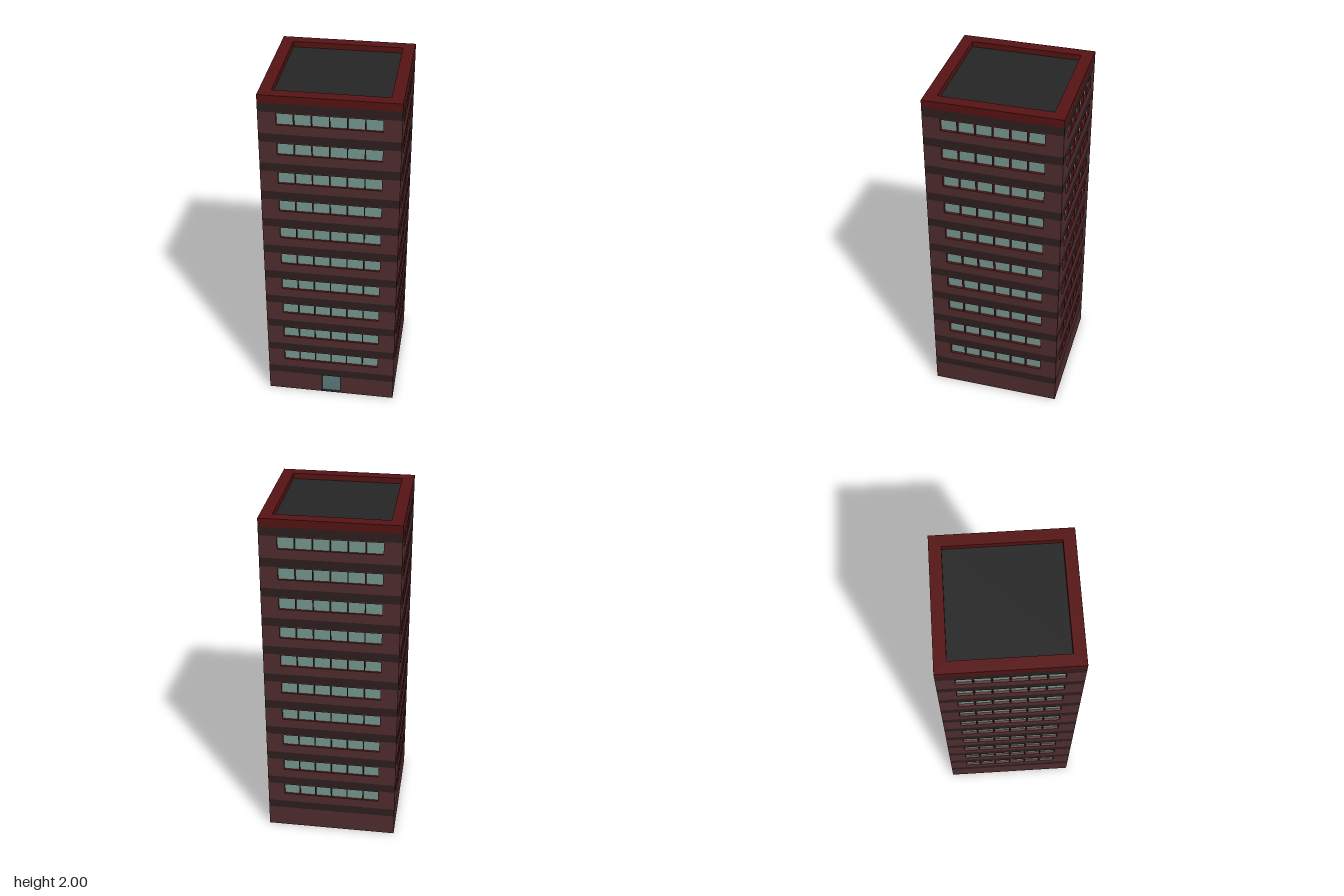
import * as THREE from 'three';
import { mergeGeometries } from 'three/addons/utils/BufferGeometryUtils.js';

const HALF = 0.38, STEP = 0.1777, FLOORS = 10, COLUMNS = 6, PITCH = 0.0947;
const BAND_Y = 0.128, BAND_H = 0.05, BAND_TOP = 1.955, RECESS = 0.012;

const material = (color) => new THREE.MeshStandardMaterial({ color, side: THREE.DoubleSide, flatShading: true });
const wallMat = material(0x502c2e);
const bandMat = material(0x2e1e1e);
const redMat = material(0x561313);
const glassMat = material(0x76998f);
const doorMat = material(0x5b7c7e);
const roofMat = material(0x262626);

function addMesh(group, name, geometry, mat) {
  const mesh = new THREE.Mesh(geometry, mat);
  mesh.name = name;
  group.add(mesh);
  return mesh;
}

// Counter-clockwise corners of a rectangle
const corners = ({ x0, x1, y0, y1 }) => [[x0, y0], [x1, y0], [x1, y1], [x0, y1]];
const rect = (x0, x1, y0, y1) => ({ x0, x1, y0, y1 });
const inset = (r, d) => rect(r.x0 + d, r.x1 - d, r.y0 + d, r.y1 - d);

function panel(r, z, holes = []) {
  const toPoints = (q) => corners(q).map(([x, y]) => new THREE.Vector2(x, y));
  const shape = new THREE.Shape(toPoints(r));
  holes.forEach((h) => shape.holes.push(new THREE.Path(toPoints(h).reverse())));
  return new THREE.ShapeGeometry(shape).translate(0, 0, z);
}

// Four-sided reveal joining an opening to the smaller pane behind it
function reveal(outer, inner, zOuter, zInner) {
  const a = corners(outer), b = corners(inner), positions = [];
  for (let i = 0; i < 4; i++) {
    const j = (i + 1) % 4;
    const p = [...a[i], zOuter], q = [...a[j], zOuter], r = [...b[j], zInner], s = [...b[i], zInner];
    positions.push(...p, ...q, ...r, ...p, ...r, ...s);
  }
  const geometry = new THREE.BufferGeometry();
  geometry.setAttribute('position', new THREE.Float32BufferAttribute(positions, 3));
  geometry.computeVertexNormals();
  return geometry;
}

function createFacade(name, frame, hasDoor) {
  const facade = new THREE.Group();
  facade.name = name;
  const walls = [], bands = [], reveals = [], panes = [];

  // Window storeys
  for (let f = 0; f < FLOORS; f++) {
    const base = BAND_Y + BAND_H + f * STEP;
    const top = BAND_Y + (f + 1) * STEP;
    const openings = [];
    for (let c = 0; c < COLUMNS; c++) {
      const x = (c - (COLUMNS - 1) / 2) * PITCH;
      const y = 0.266 + f * STEP;
      const opening = rect(x - 0.0447, x + 0.0447, y - 0.034, y + 0.034);
      const pane = inset(opening, frame);
      openings.push(opening);
      reveals.push(reveal(opening, pane, HALF, HALF - RECESS));
      panes.push(panel(pane, HALF - RECESS));
    }
    walls.push(panel(rect(-HALF, HALF, base, top), HALF, openings));
  }

  // Dark belts between storeys
  for (let f = 0; f <= FLOORS; f++) {
    const y = BAND_Y + f * STEP;
    bands.push(panel(rect(-HALF, HALF, y, f === FLOORS ? BAND_TOP : y + BAND_H), HALF));
  }

  // Ground storey, with the recessed entrance where there is one
  if (hasDoor) {
    const door = rect(-0.055, 0.055, 0, BAND_Y);
    walls.push(panel(rect(-HALF, door.x0, 0, BAND_Y), HALF), panel(rect(door.x1, HALF, 0, BAND_Y), HALF));
    addMesh(facade, 'doorReveal', reveal(door, door, HALF, HALF - 0.018), bandMat);
    addMesh(facade, 'door', panel(door, HALF - 0.018), doorMat);
  } else {
    walls.push(panel(rect(-HALF, HALF, 0, BAND_Y), HALF));
  }

  addMesh(facade, 'wall', mergeGeometries(walls), wallMat);
  addMesh(facade, 'belts', mergeGeometries(bands), bandMat);
  addMesh(facade, 'windowReveals', mergeGeometries(reveals), redMat);
  addMesh(facade, 'windowPanes', mergeGeometries(panes), glassMat);
  return facade;
}

export function createModel() {
  const building = new THREE.Group();
  building.name = 'towerBlock';

  // Four facades turned about the vertical axis
  ['frontFacade', 'leftFacade', 'backFacade', 'rightFacade'].forEach((name, i) => {
    const facade = createFacade(name, i % 2 ? 0.003 : 0.0005, i === 0);
    facade.rotation.y = i * Math.PI / 2;
    building.add(facade);
  });

  // Parapet: outer faces, flat coping and inner faces
  const outer = rect(-HALF, HALF, -HALF, HALF);
  const inner = inset(outer, 0.067);
  const roofY = 1.968;
  const parapet = mergeGeometries([
    reveal(outer, outer, BAND_TOP, 2),
    reveal(inner, inner, 2, roofY),
    reveal(outer, inner, 2, 2),
  ]);
  addMesh(building, 'parapet', parapet.rotateX(-Math.PI / 2), redMat);

  // Sunken flat roof
  addMesh(building, 'roof', panel(inner, roofY).rotateX(-Math.PI / 2), roofMat);

  return building;
}
